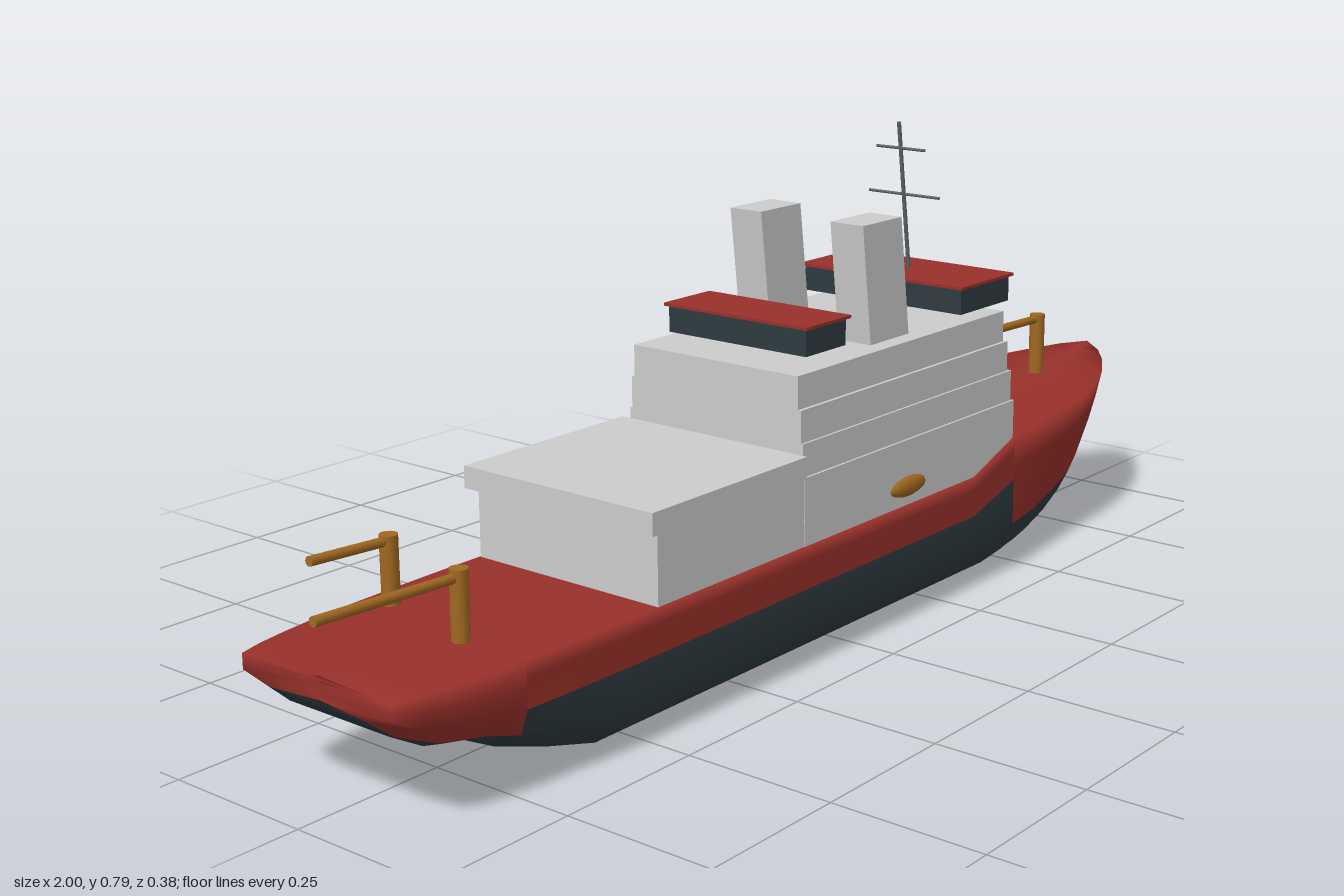
import * as THREE from 'three';

const material = (color) => new THREE.MeshStandardMaterial({ color });
const RED = 0x98302a, DARK = 0x2e3b40, GREY = 0xcccccc, BRASS = 0xa06820, STEEL = 0x5c6366;

// Hull stations: x, half beam, keel y, sheer y, paint line y, bow fineness
const STATIONS = [
  [-0.95, 0, 0.165, 0.2, 0.165, 0],
  [-0.96, 0.145, 0.165, 0.2, 0.165, 0],
  [-0.92, 0.156, 0.13, 0.2, 0.132, 0],
  [-0.87, 0.164, 0.102, 0.2, 0.115, 0],
  [-0.8, 0.172, 0.088, 0.2, 0.105, 0],
  [-0.745, 0.175, 0.06, 0.2, 0.09, 0],
  [-0.744, 0.175, 0.06, 0.2, 0.13, 0],
  [-0.65, 0.178, 0.028, 0.2, 0.13, 0],
  [-0.55, 0.18, 0, 0.2, 0.13, 0],
  [-0.1, 0.18, 0, 0.2, 0.13, 0],
  [0.33, 0.18, 0, 0.2, 0.13, 0],
  [0.455, 0.18, 0, 0.245, 0.165, 0],
  [0.456, 0.18, 0, 0.245, 0.085, 0],
  [0.54, 0.177, 0.004, 0.248, 0.09, 0.1],
  [0.63, 0.17, 0.014, 0.251, 0.1, 0.25],
  [0.72, 0.157, 0.032, 0.255, 0.108, 0.4],
  [0.8, 0.137, 0.054, 0.26, 0.118, 0.6],
  [0.87, 0.11, 0.08, 0.267, 0.12, 0.75],
  [0.93, 0.075, 0.115, 0.273, 0.13, 0.9],
  [0.97, 0.042, 0.17, 0.279, 0.172, 1],
  [1, 0, 0.275, 0.285, 0.277, 1],
];

// Half width of a station at height y: chined amidships, rounder at the bow
function halfWidth([, beam, keel, sheer, , fine], y) {
  const t = (y - keel) / (sheer - keel);
  const chined = t < 0.15 ? 0.64 + t / 0.15 * 0.25 : Math.min(1, 0.89 + (t - 0.15) / 0.18 * 0.11);
  return beam * THREE.MathUtils.lerp(chined, Math.sqrt(t), fine);
}

// Skin one row of points per station, running in the same sense round the hull
function skin(rowOf) {
  const rows = STATIONS.map(rowOf), n = rows[0].length, index = [];
  for (let i = 0; i < rows.length - 1; i++) {
    for (let j = 0; j < n - 1; j++) {
      const a = i * n + j, b = a + n;
      index.push(a, b, b + 1, a, b + 1, a + 1);
    }
  }
  const geometry = new THREE.BufferGeometry();
  geometry.setAttribute('position', new THREE.Float32BufferAttribute(rows.flat(2), 3));
  geometry.setIndex(index);
  geometry.computeVertexNormals();
  return geometry;
}

const sidePoints = (station, from, to, steps) => steps.map((u) => {
  const y = THREE.MathUtils.lerp(from, to, u);
  return [station[0], y, halfWidth(station, y)];
});
const mirrored = (points) => points.map(([x, y, z]) => [x, y, -z]).reverse();

// Red topsides and deck
function topsidesRow(s) {
  const side = sidePoints(s, s[4], s[3], [0, 0.33, 0.66, 1]);
  return [...side, [s[0], s[3], 0], ...mirrored(side)];
}

// Dark underbody
function underbodyRow(s) {
  const side = sidePoints(s, s[2], s[4], [0, 0.23, 0.5, 1]);
  return [...mirrored(side), [s[0], s[2], 0], ...side];
}

export function createModel() {
  const ship = new THREE.Group();
  ship.name = 'ship';

  const add = (name, geometry, color, parent = ship) => {
    const mesh = new THREE.Mesh(geometry, material(color));
    mesh.name = name;
    parent.add(mesh);
    return mesh;
  };
  // Box from its x and y limits and half depth
  const block = (name, x0, x1, y0, y1, halfZ, color) => {
    add(name, new THREE.BoxGeometry(x1 - x0, y1 - y0, halfZ * 2), color)
      .position.set((x0 + x1) / 2, (y0 + y1) / 2, 0);
  };
  // Round bar between two points
  const bar = (name, from, to, radius, color, parent = ship, sides = 12) => {
    const a = new THREE.Vector3(...from), b = new THREE.Vector3(...to);
    const mesh = add(name, new THREE.CylinderGeometry(radius, radius, a.distanceTo(b), sides), color, parent);
    mesh.position.copy(a).add(b).multiplyScalar(0.5);
    mesh.quaternion.setFromUnitVectors(new THREE.Vector3(0, 1, 0), b.sub(a).normalize());
  };

  // Hull
  add('topsides', skin(topsidesRow), RED).material.side = THREE.DoubleSide;
  add('underbody', skin(underbodyRow), DARK).material.side = THREE.DoubleSide;

  // Aft deckhouse and its overhanging roof
  block('aftHouse', -0.48, -0.14, 0.19, 0.312, 0.178, GREY);
  block('aftHouseRoof', -0.5, -0.145, 0.312, 0.347, 0.187, GREY);

  // Main house, stepping inward tier by tier
  const tiers = [
    [0.19, 0.31, 0.179, 0.45], [0.31, 0.363, 0.175, 0.445],
    [0.363, 0.415, 0.171, 0.438], [0.415, 0.468, 0.165, 0.432],
  ];
  tiers.forEach(([y0, y1, halfZ, front], i) => block('houseTier' + (i + 1), -0.14, front, y0, y1, halfZ, GREY));

  // Bridge and aft cabin, each with a thin red roof
  block('bridge', 0.305, 0.45, 0.483, 0.526, 0.162, DARK);
  block('bridgeRoof', 0.298, 0.456, 0.526, 0.531, 0.168, RED);
  block('aftCabin', -0.085, 0.017, 0.483, 0.526, 0.138, DARK);
  block('aftCabinRoof', -0.091, 0.023, 0.526, 0.531, 0.144, RED);

  // Twin raked funnels
  const funnelSide = new THREE.Shape([
    [0.09, 0.465], [0.195, 0.465], [0.17, 0.664], [0.066, 0.664],
  ].map(([x, y]) => new THREE.Vector2(x, y)));
  const funnelGeometry = new THREE.ExtrudeGeometry(funnelSide, { depth: 0.064, bevelEnabled: false });
  for (const z of [0.07, -0.134]) add('funnel', funnelGeometry, GREY).position.z = z;

  // Raked mast with two yards
  const mast = new THREE.Group();
  mast.name = 'mast';
  ship.add(mast);
  bar('mastPole', [0.385, 0.53, 0], [0.35, 0.785, 0], 0.0035, STEEL, mast, 8);
  bar('lowerYard', [0.368, 0.66, -0.072], [0.368, 0.66, 0.072], 0.0025, STEEL, mast, 8);
  bar('upperYard', [0.356, 0.74, -0.049], [0.356, 0.74, 0.049], 0.0025, STEEL, mast, 8);

  // Derricks: post x, z, foot y, top y, then boom tip x, y
  const derricks = [
    ['bowDerrick', 0.812, 0, 0.255, 0.372, 0.46, 0.373, 0.363],
    ['sternDerrick', -0.745, 0.053, 0.19, 0.305, -1, 0.302, 0.292],
    ['sternDerrick', -0.705, -0.13, 0.19, 0.305, -0.85, 0.303, 0.295],
  ];
  for (const [name, x, z, foot, top, tipX, tipY, rootY] of derricks) {
    const derrick = new THREE.Group();
    derrick.name = name;
    ship.add(derrick);
    bar('post', [x, foot, z], [x, top, z], 0.014, BRASS, derrick);
    bar('boom', [x, rootY, z], [tipX, tipY, z], 0.0075, BRASS, derrick);
  }

  // Lifeboats on both sides
  for (const z of [0.178, -0.178]) {
    const boat = add('lifeboat', new THREE.SphereGeometry(1, 12, 8), BRASS);
    boat.scale.set(0.05, 0.017, 0.012);
    boat.position.set(0.135, 0.232, z);
  }

  return ship;
}
